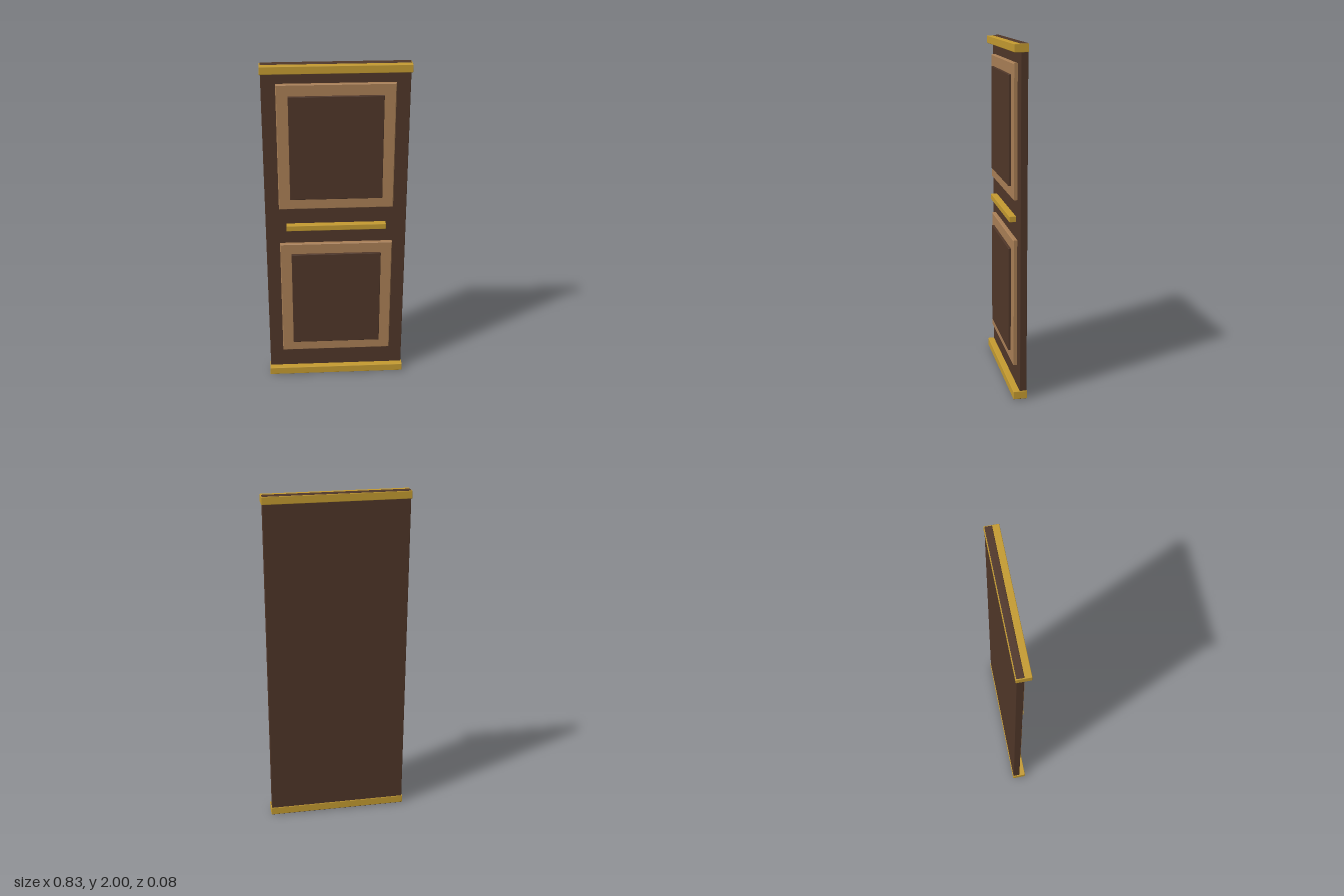
import * as THREE from 'three';
import { RoundedBoxGeometry } from 'three/addons/geometries/RoundedBoxGeometry.js';

const wood = new THREE.MeshStandardMaterial({ color: 0x4f3628 });
const lightWood = new THREE.MeshStandardMaterial({ color: 0xa87e55 });
const brass = new THREE.MeshStandardMaterial({ color: 0xc39a30 });

// Slightly eased box given by half width, y range and z range
function slab(name, halfWidth, y0, y1, z0, z1, material, radius = 0.003) {
  const geometry = new RoundedBoxGeometry(halfWidth * 2, y1 - y0, z1 - z0, 2, radius);
  const mesh = new THREE.Mesh(geometry, material);
  mesh.position.set(0, (y0 + y1) / 2, (z0 + z1) / 2);
  mesh.name = name;
  return mesh;
}

// Rectangular moulding with an open middle and bevelled edges
function moulding(name, halfW, halfH, innerW, innerH, centerY) {
  const b = 0.004;
  const rect = (Type, w, h) => new Type([[-w, -h], [w, -h], [w, h], [-w, h]].map(([x, y]) => new THREE.Vector2(x, y)));
  const shape = rect(THREE.Shape, halfW - b, halfH - b);
  shape.holes.push(rect(THREE.Path, innerW, innerH));
  const geometry = new THREE.ExtrudeGeometry(shape, {
    depth: 0.022, bevelEnabled: true, bevelSize: b, bevelThickness: b, bevelSegments: 1,
  });
  const mesh = new THREE.Mesh(geometry, lightWood);
  mesh.position.set(0, centerY, 0);
  mesh.name = name;
  return mesh;
}

export function createModel() {
  const door = new THREE.Group();
  door.name = 'door';

  // Main leaf
  door.add(slab('doorLeaf', 0.41, 0, 2, -0.037, 0.003, wood));

  // Brass bands wrapping the top and bottom edges
  door.add(slab('bottomBand', 0.415, 0.003, 0.05, -0.04, 0.04, brass));
  door.add(slab('topBand', 0.415, 1.953, 1.997, -0.04, 0.04, brass));

  // Two raised panels, each set in a lighter moulding
  for (const [prefix, y] of [['lower', 0.547], ['upper', 1.519]]) {
    door.add(moulding(prefix + 'Moulding', 0.33, 0.372, 0.255, 0.298, y));
    door.add(slab(prefix + 'Panel', 0.264, y - 0.307, y + 0.307, 0, 0.04, wood));
  }

  // Brass bar between the panels
  door.add(slab('middleBar', 0.29, 1.012, 1.046, 0, 0.04, brass));

  return door;
}
